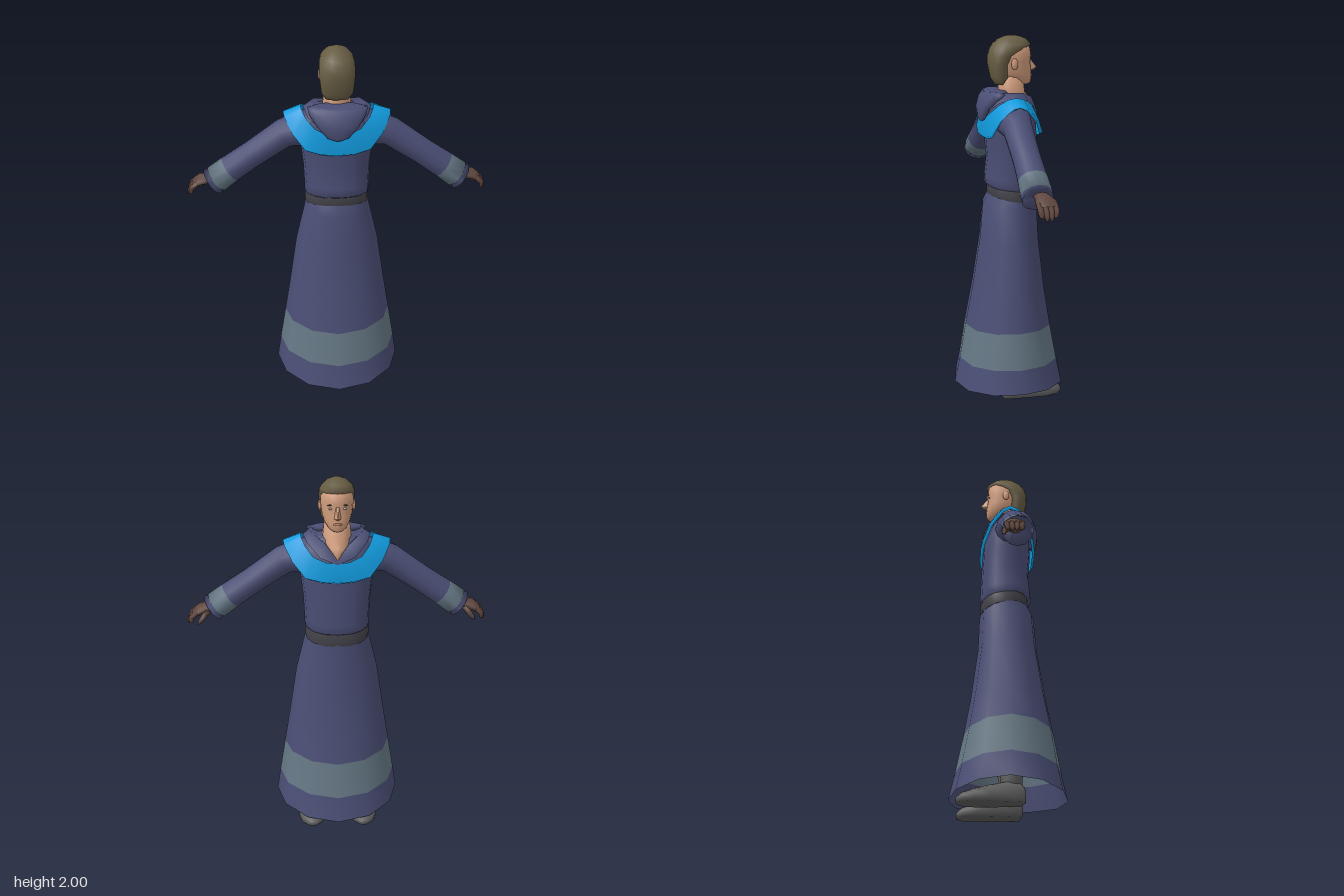
import * as THREE from 'three';
import { ConvexGeometry } from 'three/addons/geometries/ConvexGeometry.js';

const V = (x, y, z) => new THREE.Vector3(x, y, z);
const X = V(1, 0, 0), Y = V(0, 1, 0), Z = V(0, 0, 1);

function material(name, color, side = THREE.FrontSide) {
  const m = new THREE.MeshStandardMaterial({ color, side });
  m.name = name;
  return m;
}

// Closed cross-section in the plane of e1 and e2; p < 1 makes it boxier
function ring(c, e1, e2, r1, r2, n, p = 1) {
  const pow = v => Math.sign(v) * Math.abs(v) ** p;
  return Array.from({ length: n }, (_, i) => {
    const a = i / n * Math.PI * 2;
    return c.clone().addScaledVector(e1, r1 * pow(Math.cos(a))).addScaledVector(e2, r2 * pow(Math.sin(a)));
  });
}

// Horizontal cross-sections given as [y, half width, front z, back z]
function slices(rows, n, p = 1) {
  return rows.map(([y, w, zf, zb]) => ring(V(0, y, (zf + zb) / 2), Z, X, (zb - zf) / 2, w, n, p));
}

// Cross-sections along a path in the xy plane: [x, y, z, half height, half depth]
function limb(pts, n = 10) {
  return pts.map(([x, y, z, h, w], i) => {
    const a = pts[Math.max(i - 1, 0)], b = pts[Math.min(i + 1, pts.length - 1)];
    const up = V(a[1] - b[1], b[0] - a[0], 0).normalize();
    return ring(V(x, y, z), up, Z, h, w, n);
  });
}

// Loop made of points from back centre to front centre, mirrored over x = 0
function mirroredLoop(half) {
  const pts = half.map(p => V(...p));
  return pts.concat(half.slice(1, -1).reverse().map(([x, y, z]) => V(-x, y, z)));
}

// Skin over rings; slots gives a material index per segment
function loft(rings, { caps = false, slots = null } = {}) {
  const n = rings[0].length, verts = rings.flat(), index = [];
  const geo = new THREE.BufferGeometry();
  for (let i = 0; i < rings.length - 1; i++) {
    if (slots) geo.addGroup(index.length, n * 6, slots[i]);
    for (let j = 0; j < n; j++) {
      const a = i * n + j, b = i * n + (j + 1) % n;
      index.push(a, b, a + n, b, b + n, a + n);
    }
  }
  if (caps) {
    for (const [r, flip] of [[0, true], [rings.length - 1, false]]) {
      const mid = rings[r].reduce((s, p) => s.add(p), V(0, 0, 0)).divideScalar(n);
      const c = verts.push(mid) - 1;
      for (let j = 0; j < n; j++) {
        const a = r * n + j, b = r * n + (j + 1) % n;
        index.push(...(flip ? [b, a, c] : [a, b, c]));
      }
    }
  }
  geo.setFromPoints(verts).setIndex(index);
  geo.computeVertexNormals();
  return geo;
}

function mirrored(geo) {
  const g = geo.clone().scale(-1, 1, 1), ix = g.index.array;
  for (let i = 0; i < ix.length; i += 3) [ix[i], ix[i + 1]] = [ix[i + 1], ix[i]];
  return g;
}

export function createModel() {
  const model = new THREE.Group();
  model.name = 'robedFigure';
  const robe = material('robe cloth', 0x4a4e74, THREE.DoubleSide);
  const trim = material('grey trim', 0x647683, THREE.DoubleSide);
  const blue = material('blue yoke', 0x119bde, THREE.DoubleSide);
  const leather = material('belt', 0x414148);
  const skin = material('skin', 0xd09c7c);
  const hairMat = material('hair', 0x675d44);
  const handMat = material('hands', 0x5f463f);
  const shoeMat = material('shoes', 0x5c5c5c);
  const eyeMat = material('eyes', 0xa9b4ba);
  const lipMat = material('lips', 0xb07a62);

  const add = (name, geo, mat) => {
    const mesh = new THREE.Mesh(geo, mat);
    mesh.name = name;
    model.add(mesh);
    return mesh;
  };
  const addPair = (name, geo, mat) => {
    add('left' + name, geo, mat);
    add('right' + name, mirrored(geo), mat);
  };

  // Skirt, with its hem and trim dipping at front and back
  const skirt = slices([
    [0.09, 0.35, -0.312, 0.308], [0.225, 0.33, -0.28, 0.277], [0.425, 0.298, -0.24, 0.243],
    [0.62, 0.267, -0.203, 0.2], [0.9, 0.225, -0.168, 0.155], [1.09, 0.18, -0.162, 0.14], [1.17, 0.163, -0.148, 0.1],
  ], 12);
  skirt.slice(0, 3).forEach((r, i) => r.forEach(p => { p.y -= (i ? 0.025 : 0.033) * (p.z / r[0].z) ** 2; }));
  add('skirt', loft(skirt, { slots: [0, 1, 0, 0, 0, 0] }), [robe, trim]);

  // Belt, lower at the front
  const belt = slices([[1.13, 0.165, -0.148, 0.1], [1.13, 0.173, -0.158, 0.11],
    [1.187, 0.173, -0.156, 0.108], [1.187, 0.16, -0.145, 0.1]], 16, 0.9);
  belt.forEach((r, i) => r.forEach(p => { p.y += p.z * (i < 2 ? 0.17 : 0.11); }));
  add('belt', loft(belt), leather);

  // Torso
  const torso = slices([
    [1.18, 0.16, -0.145, 0.1], [1.195, 0.175, -0.161, 0.125], [1.24, 0.175, -0.16, 0.122], [1.35, 0.18, -0.155, 0.11],
    [1.46, 0.192, -0.15, 0.12], [1.55, 0.205, -0.145, 0.122], [1.61, 0.2, -0.125, 0.115],
    [1.65, 0.182, -0.1, 0.1], [1.685, 0.15, -0.075, 0.08], [1.695, 0.08, -0.06, 0.06],
  ], 16, 0.88);
  torso.slice(0, 3).forEach(r => r.forEach(p => { p.y += p.z * 0.1; }));
  add('torso', loft(torso, { caps: true }), robe);

  // Sleeves with trimmed cuffs
  const sleeve = limb([
    [0.13, 1.575, 0.01, 0.1, 0.1], [0.2, 1.565, 0.01, 0.09, 0.09], [0.28, 1.545, 0.015, 0.078, 0.078],
    [0.45, 1.427, 0.015, 0.071, 0.073], [0.57, 1.343, 0.016, 0.074, 0.077],
    [0.645, 1.287, 0.017, 0.077, 0.082], [0.668, 1.27, 0.017, 0.077, 0.082], [0.62, 1.305, 0.017, 0.06, 0.065],
  ], 12);
  // turn the inner lining ring the same way as the cuff
  sleeve[7] = sleeve[6].map(p => V(0.668, 1.27, 0.017).lerp(p, 0.8).add(V(-0.048, 0.035, 0)));
  addPair('Sleeve', loft(sleeve, { slots: [0, 0, 0, 0, 1, 0, 0] }), [robe, trim]);

  // Hands: palm, four fingers and thumb
  addPair('Palm', loft(limb([
    [0.6, 1.315, 0.01, 0.03, 0.035], [0.68, 1.285, 0.003, 0.028, 0.038],
    [0.735, 1.272, -0.003, 0.026, 0.055], [0.768, 1.25, -0.005, 0.019, 0.053],
  ]), { caps: true }), handMat);
  for (let i = 0; i < 4; i++) {
    const z = -0.043 + i * 0.026, s = i === 0 || i === 3 ? 0.01 : 0;
    addPair('Finger' + (i + 1), loft(limb([
      [0.75, 1.265, z, 0.015, 0.015], [0.782, 1.238, z, 0.015, 0.015],
      [0.795 - s, 1.212, z * 0.9, 0.012, 0.013], [0.798 - s, 1.195 + s, z * 0.85, 0.005, 0.006],
    ], 6), { caps: true }), handMat);
  }
  addPair('Thumb', loft(limb([
    [0.69, 1.272, -0.025, 0.018, 0.018], [0.715, 1.245, -0.05, 0.015, 0.015],
    [0.735, 1.22, -0.055, 0.012, 0.012], [0.745, 1.203, -0.052, 0.004, 0.005],
  ], 6), { caps: true }), handMat);

  // Blue yoke over the shoulders
  const yokeOuter = mirroredLoop([
    [0, 1.47, 0.145], [0.09, 1.475, 0.145], [0.17, 1.495, 0.133], [0.235, 1.575, 0.105], [0.275, 1.645, 0.045],
    [0.282, 1.662, 0], [0.275, 1.645, -0.045], [0.235, 1.58, -0.11], [0.17, 1.505, -0.15], [0.09, 1.487, -0.162], [0, 1.48, -0.163],
  ]);
  const yokeInner = mirroredLoop([
    [0, 1.575, 0.135], [0.06, 1.58, 0.132], [0.12, 1.61, 0.122], [0.165, 1.655, 0.085], [0.185, 1.685, 0.04],
    [0.19, 1.692, 0], [0.185, 1.685, -0.04], [0.165, 1.655, -0.09], [0.125, 1.61, -0.125], [0.06, 1.585, -0.143], [0, 1.58, -0.146],
  ]);
  const yokeLip = yokeOuter.map(p => V(p.x * 0.93, p.y - 0.012, p.z * 0.9));
  add('yoke', loft([yokeLip, yokeOuter, yokeInner]), blue);

  // Hood collar with a V opening, and the hood lying on the back
  add('hoodCollar', loft([
    [[0, 1.6, 0.14], [0.09, 1.61, 0.128], [0.155, 1.66, 0.085], [0.178, 1.69, 0], [0.155, 1.67, -0.075], [0.09, 1.61, -0.14], [0, 1.575, -0.152]],
    [[0, 1.705, 0.13], [0.08, 1.712, 0.11], [0.13, 1.712, 0.06], [0.145, 1.712, 0], [0.12, 1.708, -0.055], [0.065, 1.68, -0.115], [0, 1.6, -0.156]],
    [[0, 1.68, 0.06], [0.05, 1.68, 0.05], [0.08, 1.68, 0.03], [0.085, 1.68, 0], [0.075, 1.67, -0.04], [0.045, 1.65, -0.09], [0, 1.595, -0.12]],
  ].map(mirroredLoop)), robe);
  add('hoodDrape', loft(slices([
    [1.552, 0.02, 0.135, 0.152], [1.565, 0.055, 0.125, 0.16], [1.625, 0.108, 0.1, 0.167],
    [1.68, 0.15, 0.03, 0.15], [1.705, 0.158, 0.01, 0.128], [1.715, 0.12, 0.02, 0.11],
  ], 14), { caps: true }), robe);

  // Neck and head
  add('neck', loft(slices([
    [1.6, 0.02, -0.15, 0], [1.655, 0.068, -0.135, 0.04], [1.7, 0.076, -0.095, 0.05], [1.79, 0.066, -0.085, 0.05],
  ], 14), { caps: true }), skin);
  add('head', loft(slices([
    [1.742, 0.03, -0.118, -0.03], [1.755, 0.05, -0.128, 0.02], [1.785, 0.068, -0.131, 0.05], [1.82, 0.078, -0.128, 0.07],
    [1.865, 0.084, -0.121, 0.08], [1.895, 0.086, -0.127, 0.085], [1.94, 0.08, -0.12, 0.08], [1.98, 0.045, -0.075, 0.04],
  ], 18, 0.93), { caps: true }), skin);
  add('hair', loft(slices([
    [1.745, 0.06, 0.025, 0.07], [1.78, 0.083, 0, 0.092], [1.85, 0.091, -0.005, 0.105], [1.895, 0.094, -0.04, 0.106],
    [1.93, 0.092, -0.1, 0.097], [1.955, 0.083, -0.128, 0.082], [1.982, 0.058, -0.1, 0.05], [1.996, 0.028, -0.06, 0.015], [2, 0.008, -0.03, -0.01],
  ], 18, 0.93), { caps: true }), hairMat);

  // Face details
  add('nose', new ConvexGeometry([
    V(0.008, 1.88, -0.12), V(-0.008, 1.88, -0.12), V(0, 1.828, -0.162), V(0.018, 1.815, -0.125),
    V(-0.018, 1.815, -0.125), V(0, 1.812, -0.145),
  ]), skin);
  const lips = add('lips', new THREE.SphereGeometry(1, 10, 6), lipMat);
  lips.scale.set(0.024, 0.007, 0.005);
  lips.position.set(0, 1.788, -0.13);
  for (const [side, s] of [['left', 1], ['right', -1]]) {
    const parts = [
      ['Eye', eyeMat, [0.014, 0.006, 0.004], [0.034, 1.868, -0.114], 0.35],
      ['Brow', hairMat, [0.019, 0.004, 0.004], [0.035, 1.888, -0.118], 0.35],
      ['Ear', skin, [0.009, 0.03, 0.019], [0.088, 1.855, -0.018], 0],
    ];
    for (const [name, mat, size, pos, turn] of parts) {
      const m = add(side + name, new THREE.SphereGeometry(1, 10, 8), mat);
      m.scale.set(...size);
      m.position.set(pos[0] * s, pos[1], pos[2]);
      m.rotation.y = turn * s;
    }
  }

  // Shoes, flat on the ground, and boot shafts: [z, centre y, half height, half width]
  const shoe = [
    [0.08, 0.04, 0.03, 0.035], [0.06, 0.04, 0.06, 0.058], [0, 0.045, 0.07, 0.066], [-0.1, 0.035, 0.06, 0.074],
    [-0.18, 0.025, 0.05, 0.078], [-0.24, 0.02, 0.035, 0.06], [-0.27, 0.015, 0.015, 0.025],
  ].map(([z, y, h, w]) => ring(V(0.147, y, z), Y, X, h, w, 14, 0.85));
  shoe.flat().forEach(p => { p.y = Math.max(p.y, 0); });
  addPair('Shoe', loft(shoe, { caps: true }), shoeMat);
  addPair('BootShaft', loft([[0.04, 0.055], [0.14, 0.056], [0.3, 0.068], [0.5, 0.07]].map(
    ([y, r]) => ring(V(0.14 - y * 0.05, y, 0.01), Z, X, r, r, 12)), { caps: true }), shoeMat);
  return model;
}
